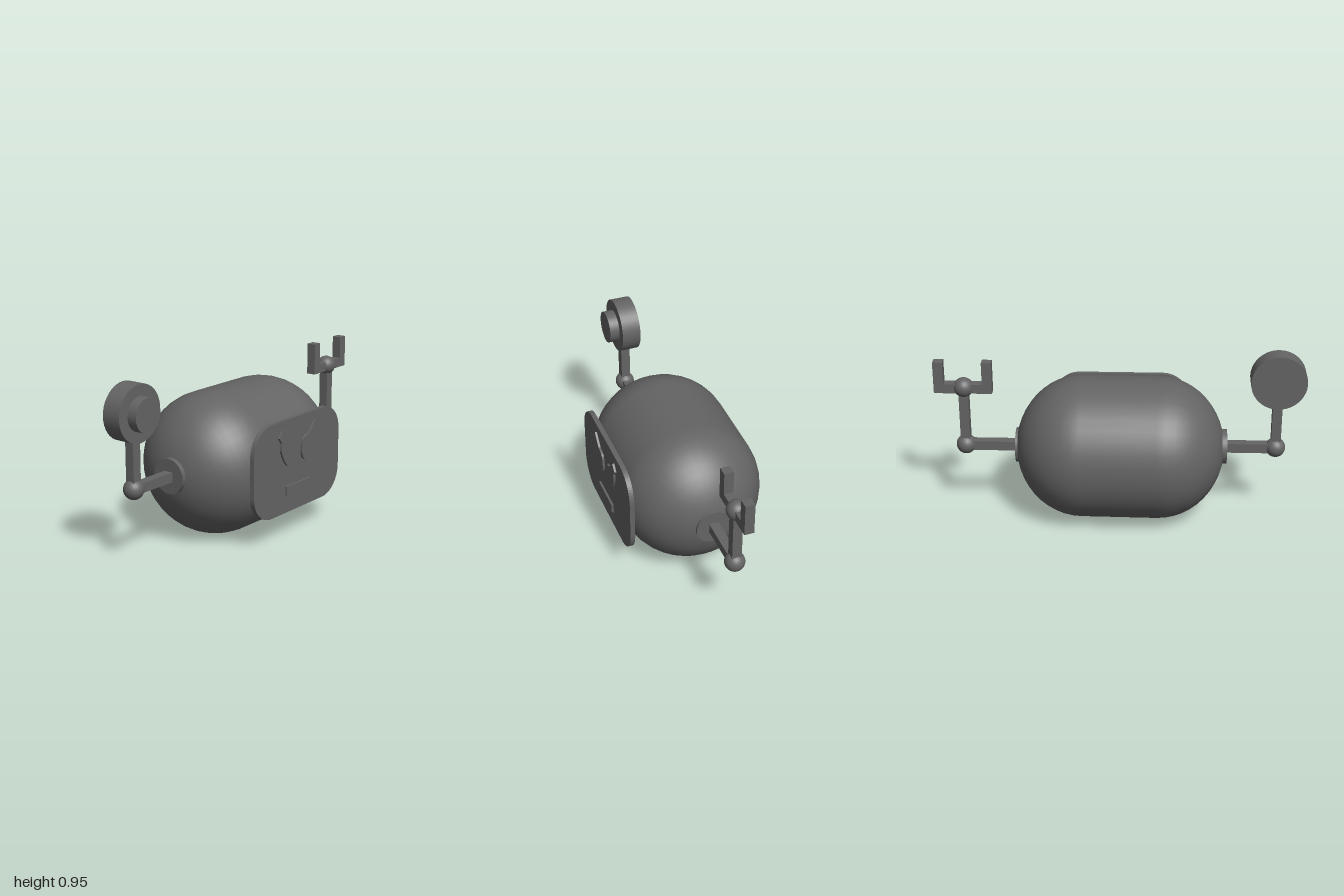
import * as THREE from 'three';

const mat = new THREE.MeshStandardMaterial({ color: 0x646464 });
const Z = -0.009; // depth of the arm plane

export function createModel() {
  const model = new THREE.Group();

  const add = (name, geo, x, y, z) => {
    const mesh = new THREE.Mesh(geo, mat);
    mesh.name = name;
    mesh.position.set(x, y, z);
    model.add(mesh);
    return mesh;
  };
  const box = (name, x0, x1, y0, y1, z0, z1) =>
    add(name, new THREE.BoxGeometry(x1 - x0, y1 - y0, z1 - z0), (x0 + x1) / 2, (y0 + y1) / 2, (z0 + z1) / 2);
  const ball = (name, x, y) => add(name, new THREE.SphereGeometry(0.054, 24, 16), x, y, Z);
  const slab = (name, shape, z0, z1) =>
    add(name, new THREE.ExtrudeGeometry(shape, { depth: z1 - z0, bevelEnabled: false, curveSegments: 8 }), 0, 0, z0);

  // Barrel body with domed ends, lying along x and turned very slightly
  const profile = [];
  const steps = 12;
  for (const side of [-1, 1]) {
    for (let i = 0; i <= steps; i++) {
      const a = (side < 0 ? i / steps : 1 - i / steps) * Math.PI / 2;
      profile.push(new THREE.Vector2(0.389 * Math.sin(a), side * (0.205 + 0.362 * Math.cos(a))));
    }
  }
  const body = add('body', new THREE.LatheGeometry(profile, 40), -0.005, 0.391, -0.009);
  body.rotation.set(0, -0.015, -Math.PI / 2);

  // Face plate with rounded corners
  const [l, r, b, t, c] = [-0.38, 0.386, 0.153, 0.662, 0.15];
  const plate = new THREE.Shape();
  plate.moveTo(l + c, b);
  plate.lineTo(r - c, b);
  plate.absarc(r - c, b + c, c, -Math.PI / 2, 0);
  plate.absarc(r - c, t - c, c, 0, Math.PI / 2);
  plate.absarc(l + c, t - c, c, Math.PI / 2, Math.PI);
  plate.absarc(l + c, b + c, c, Math.PI, Math.PI * 1.5);
  slab('facePlate', plate, 0.362, 0.388);

  // Slanted eyes with brows, mirrored, and a bar mouth
  for (const s of [-1, 1]) {
    const eye = new THREE.Shape();
    eye.moveTo(s * 0.147, 0.614);
    eye.lineTo(s * 0.179, 0.579);
    eye.lineTo(s * 0.157, 0.549);
    eye.splineThru([[0.158, 0.499], [0.12, 0.431], [0.078, 0.408], [0.04, 0.423], [0.024, 0.466], [0.037, 0.531], [0.088, 0.552]]
      .map(([x, y]) => new THREE.Vector2(s * x, y)));
    eye.closePath();
    slab(s < 0 ? 'rightEye' : 'leftEye', eye, 0.38, 0.4);
  }
  box('mouth', -0.108, 0.108, 0.248, 0.301, 0.38, 0.4);

  // Both arms: shoulder hub, bar, elbow ball, upright
  const h = 0.026;
  for (const [side, s, x, y, hubX, top] of [['right', -1, -0.85, 0.399, -0.567, 0.68], ['left', 1, 0.841, 0.391, 0.546, 0.73]]) {
    const hub = add(side + 'ShoulderHub', new THREE.CylinderGeometry(0.095, 0.095, 0.036, 32), hubX, y, Z);
    hub.rotation.z = Math.PI / 2;
    box(side + 'Arm', Math.min(x, s * 0.52), Math.max(x, s * 0.52), y - h, y + h, Z - h, Z + h);
    ball(side + 'Elbow', x, y);
    box(side + 'Forearm', x - h, x + h, y, top, Z - h, Z + h);
  }

  // Round double disc on the right arm
  const disc = (name, rad, z0, z1) => {
    const m = add(name, new THREE.CylinderGeometry(rad, rad, z1 - z0, 40), -0.85, 0.797, (z0 + z1) / 2);
    m.rotation.x = Math.PI / 2;
  };
  disc('discHead', 0.15, -0.062, 0.044);
  disc('discFront', 0.09, 0.03, 0.099);

  // Forked claw on the left arm
  ball('leftWrist', 0.841, 0.729);
  box('clawBase', 0.685, 0.999, 0.702, 0.754, Z - h, Z + h);
  box('clawProngOuter', 0.946, 0.999, 0.74, 0.879, Z - h, Z + h);
  box('clawProngInner', 0.685, 0.738, 0.74, 0.879, Z - h, Z + h);

  return model;
}
